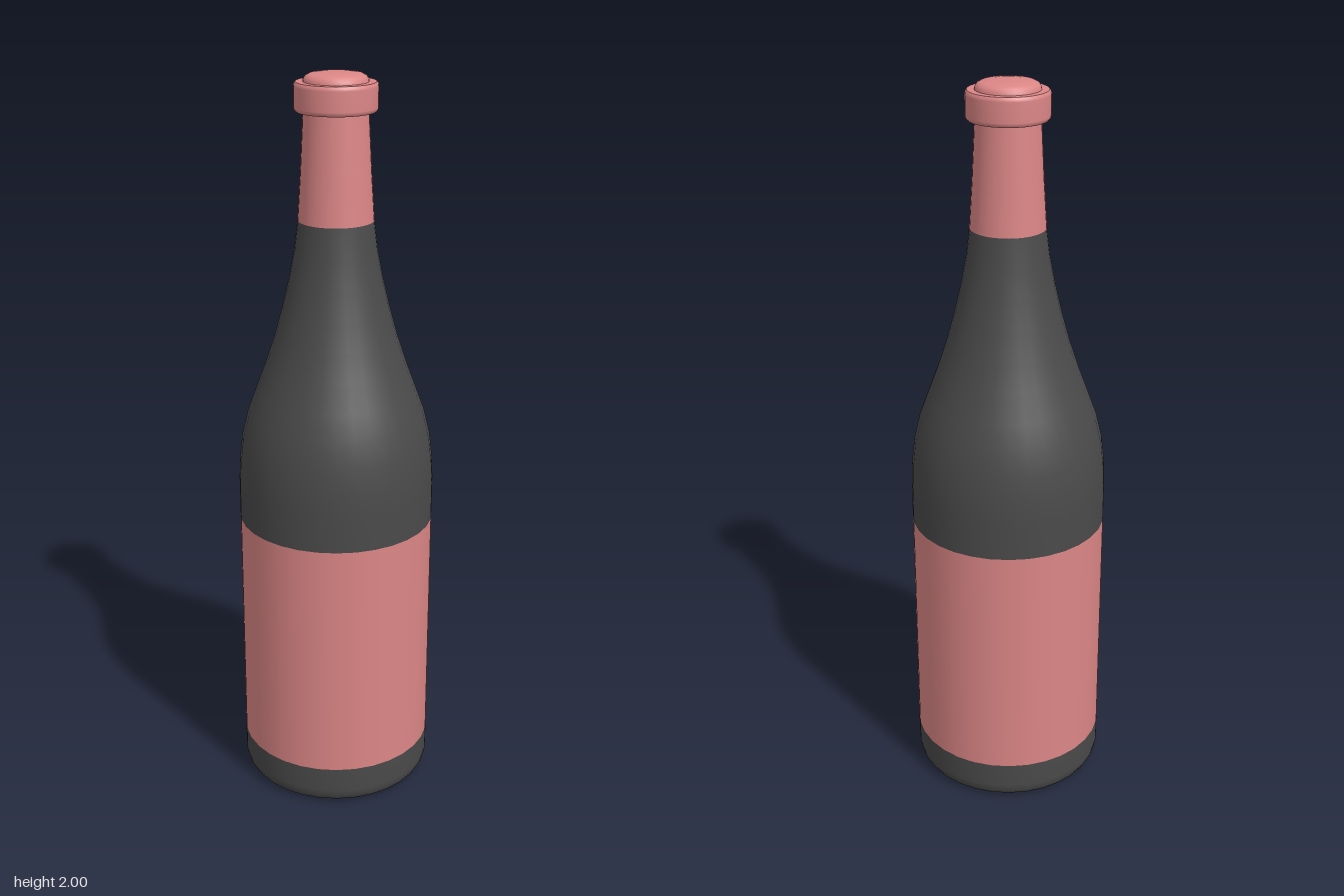
import * as THREE from 'three';

const SEGMENTS = 32;

export function createModel() {
  const bottle = new THREE.Group();
  bottle.name = 'bottle';

  const glass = new THREE.MeshStandardMaterial({ color: 0x4a4a4a });
  glass.name = 'dark glass';
  const pink = new THREE.MeshStandardMaterial({ color: 0xdc8686 });
  pink.name = 'pink paper and foil';

  // Turns a [radius, height] profile, listed from bottom to top on the outside
  const turn = (name, material, profile) => {
    const points = profile.map(([r, y]) => new THREE.Vector2(r, y));
    const mesh = new THREE.Mesh(new THREE.LatheGeometry(points, SEGMENTS), material);
    mesh.name = name;
    bottle.add(mesh);
  };

  // Hollow underside
  turn('punt', glass, [
    [0, 0.07], [0.08, 0.063], [0.15, 0.045], [0.2, 0.022], [0.235, 0],
  ]);

  // Rounded foot below the label
  turn('base', glass, [
    [0.235, 0], [0.245, 0.002], [0.256, 0.01], [0.264, 0.024], [0.268, 0.045], [0.268, 0.115],
  ]);

  // Label wrapped around the body
  turn('label', pink, [[0.268, 0.115], [0.268, 0.795]]);

  // Upper body, sloping shoulder and lower neck
  turn('shoulder', glass, [
    [0.268, 0.795], [0.268, 0.9], [0.265, 0.96], [0.257, 1.03], [0.24, 1.1], [0.218, 1.16],
    [0.19, 1.235], [0.165, 1.31], [0.143, 1.39], [0.124, 1.47], [0.109, 1.55], [0.1, 1.625],
  ]);

  // Foil sleeve around the neck
  turn('neckFoil', pink, [[0.1, 1.625], [0.092, 1.75], [0.084, 1.91]]);

  // Collar ring below the mouth
  turn('collarUnderside', pink, [[0.08, 1.903], [0.103, 1.903]]);
  turn('collar', pink, [
    [0.103, 1.903], [0.107, 1.908], [0.108, 1.914], [0.108, 1.965], [0.107, 1.971], [0.103, 1.976],
  ]);
  turn('collarTop', pink, [[0.103, 1.976], [0.078, 1.976]]);

  // Domed cap
  turn('cap', pink, [
    [0.084, 1.974], [0.083, 1.982], [0.078, 1.99], [0.068, 1.995], [0.04, 1.999], [0, 2],
  ]);

  return bottle;
}
